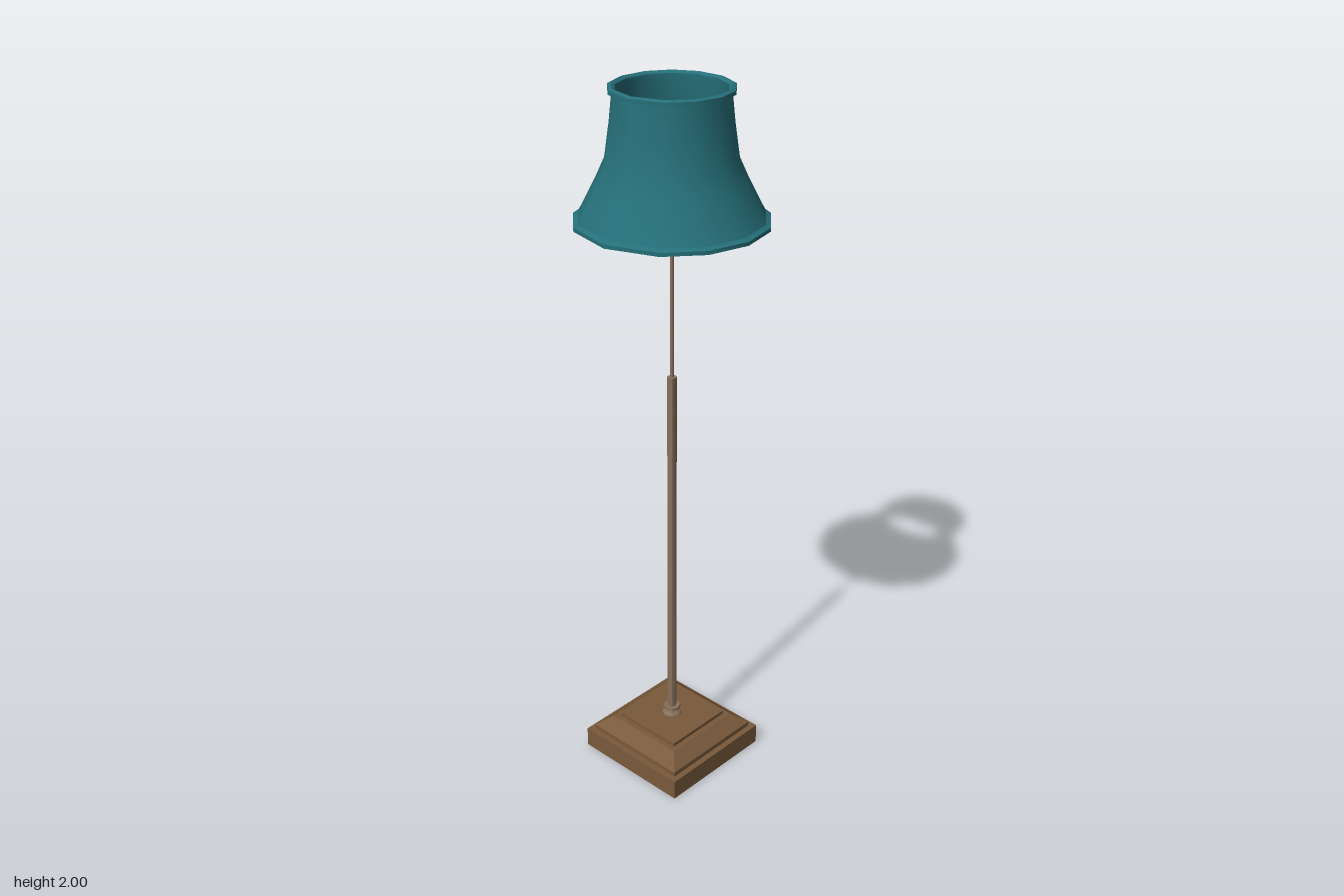
import * as THREE from 'three';
import { toCreasedNormals } from 'three/addons/utils/BufferGeometryUtils.js';

const CREASE = 0.65;

// Lathe from [radius, height] pairs, listed upward along the outside
function turned(profile, sides) {
  return new THREE.LatheGeometry(profile.map(([r, y]) => new THREE.Vector2(r, y)), sides);
}

// Square tapering block given by half widths and heights
function block(bottomHalf, topHalf, y0, y1) {
  const geo = new THREE.CylinderGeometry(topHalf * Math.SQRT2, bottomHalf * Math.SQRT2, y1 - y0, 4);
  return geo.rotateY(Math.PI / 4).translate(0, (y0 + y1) / 2, 0);
}

export function createModel() {
  const wood = new THREE.MeshStandardMaterial({ color: 0x7a5a3c });
  wood.name = 'brown wood';
  const metal = new THREE.MeshStandardMaterial({ color: 0x88705a });
  metal.name = 'aged metal';
  const fabric = new THREE.MeshStandardMaterial({ color: 0x26707a });
  fabric.name = 'teal fabric';

  const group = new THREE.Group();
  group.name = 'floorLamp';
  const add = (name, geo, mat, crease = CREASE) => {
    const mesh = new THREE.Mesh(toCreasedNormals(geo, crease), mat);
    mesh.name = name;
    mesh.position.set(-0.003, 0, -0.005);
    group.add(mesh);
  };

  // Stepped square base
  add('basePlinth', block(0.18, 0.18, 0, 0.06), wood);
  add('baseStep', block(0.163, 0.163, 0.06, 0.074), wood);
  add('baseSlope', block(0.163, 0.123, 0.074, 0.106), wood, 0.3);
  add('baseTop', block(0.108, 0.108, 0.106, 0.117), wood);

  // Octagonal collar holding the pole
  add('collar', turned([[0.029, 0.115], [0.029, 0.121], [0.021, 0.128],
    [0.019, 0.134], [0.025, 0.138], [0.025, 0.145], [0, 0.145]], 8), metal);

  // Pole, thin rod and bulb holder
  add('pole', turned([[0.013, 0.14], [0.013, 1.222], [0, 1.222]], 8), metal, 0.9);
  add('rod', turned([[0.005, 1.22], [0.005, 1.59]], 8), metal, 0.9);
  add('bulbHolder', turned([[0, 1.575], [0.012, 1.575], [0.012, 1.74], [0.014, 1.745],
    [0.014, 1.755], [0.011, 1.766], [0.006, 1.772], [0, 1.774]], 8), metal, 0.9);

  // Bell shade with a rolled rim and an inner lining
  const profile = [
    [0.246, 1.652], [0.256, 1.652], [0.256, 1.662], [0.243, 1.668], [0.221, 1.71],
    [0.197, 1.757], [0.172, 1.812], [0.159, 1.9], [0.15, 1.984], [0.161, 1.986],
    [0.161, 1.996], [0.151, 2], [0.142, 1.994], [0.142, 1.984], [0.152, 1.9],
    [0.165, 1.812], [0.19, 1.757], [0.214, 1.71], [0.236, 1.668], [0.246, 1.652],
  ];
  const sides = 13;
  const shade = turned(profile, sides);
  // Two panels at the front are wider than the other eleven
  const stepOf = (i) => (i === 9 || i === 10 ? 33.2 : 26.69);
  const angles = [0];
  for (let i = 0; i < sides; i++) angles.push(angles[i] + stepOf(i));
  const pos = shade.attributes.position;
  for (let i = 0; i < pos.count; i++) {
    const column = Math.floor(i / profile.length) % sides;
    const r = profile[i % profile.length][0];
    const a = THREE.MathUtils.degToRad(angles[column]);
    pos.setXYZ(i, r * Math.cos(a), pos.getY(i), -r * Math.sin(a));
  }
  add('lampShade', shade, fabric);

  return group;
}
